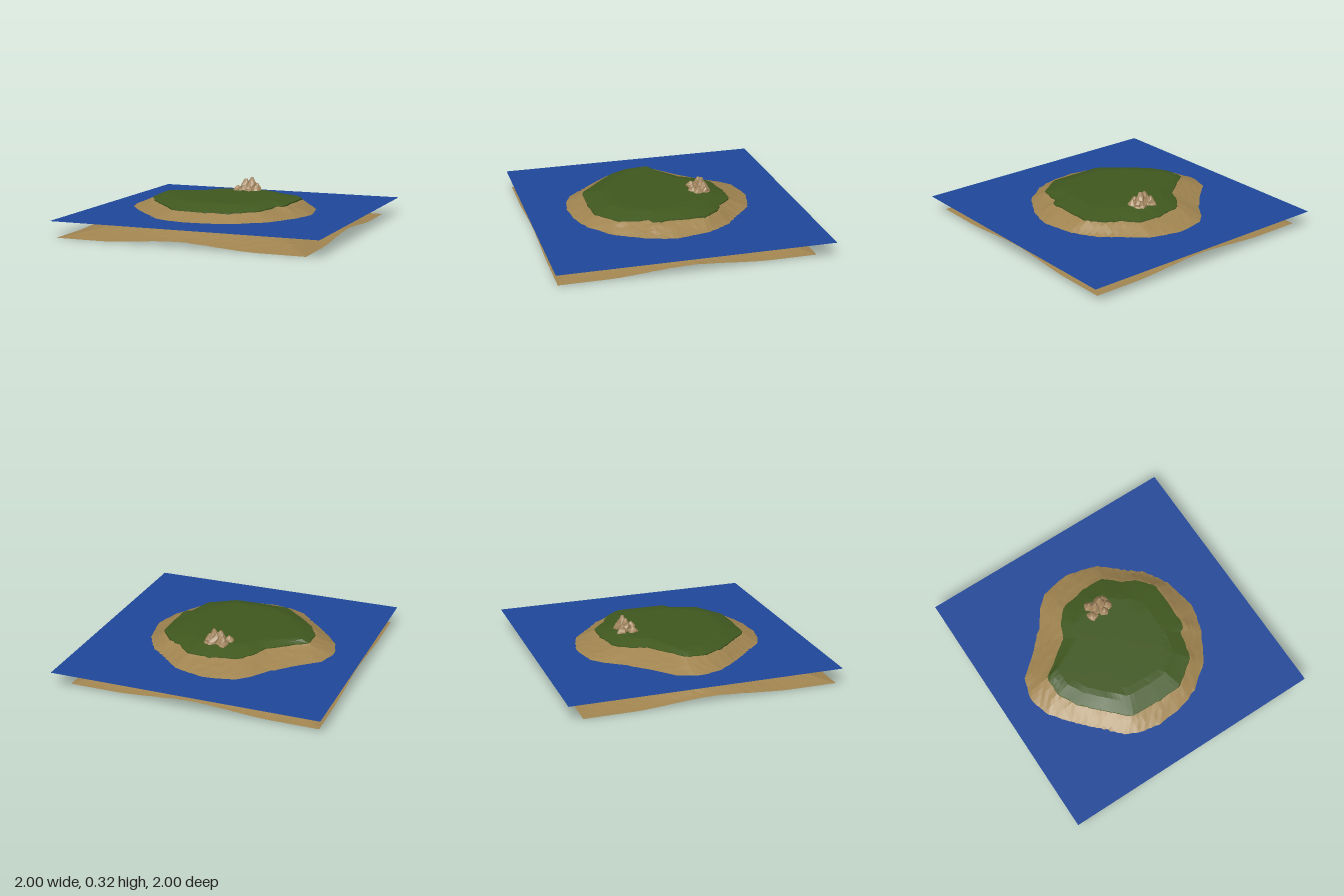
import * as THREE from 'three';

const WATER_Y = 0.125, TOP_Y = 0.224;

// Outlines as x, z pairs around the island
const pairs = a => Array.from({ length: a.length / 2 }, (_, i) => [a[2 * i], a[2 * i + 1]]);
const shore = pairs([.63, .06, .58, -.2, .47, -.37, .32, -.5, .22, -.6, .1, -.65, -.05, -.675, -.25, -.64,
  -.35, -.55, -.42, -.43, -.58, -.28, -.74, -.14, -.785, .02, -.75, .17, -.62, .33, -.5, .45,
  -.35, .62, -.25, .67, -.1, .7, .1, .68, .27, .62, .42, .5, .5, .4, .58, .25]);
const grassRim = pairs([.47, 0, .47, -.2, .38, -.32, .28, -.37, .16, -.48, 0, -.48, -.2, -.44, -.28, -.35,
  -.34, -.23, -.48, -.12, -.61, -.03, -.6, .12, -.54, .25, -.4, .4, -.24, .55, 0, .56,
  .18, .55, .37, .41, .42, .2, .47, .18]);
const plateau = pairs([.32, -.05, .25, -.2, .12, -.32, 0, -.35, -.2, -.28, -.26, -.18, -.4, -.1,
  -.56, -.03, -.51, .1, -.32, .33, -.16, .41, .14, .41, .26, .3, .32, .15]);
const CX = -0.03, CZ = 0.04, HALF = 0.93;
const seabedEdge = [[CX + HALF, CZ + HALF], [CX + HALF, CZ - HALF], [CX - HALF, CZ - HALF], [CX - HALF, CZ + HALF]];

// Distance from the origin to an outline in direction (c, s)
function reach(outline, c, s) {
  let best = 0;
  outline.forEach(([ax, az], i) => {
    const [bx, bz] = outline[(i + 1) % outline.length];
    const ex = bx - ax, ez = bz - az, d = c * ez - s * ex;
    if (Math.abs(d) < 1e-9) return;
    const r = (ax * ez - az * ex) / d, t = (ax * s - az * c) / d;
    if (t >= -1e-6 && t <= 1 + 1e-6 && r > best) best = r;
  });
  return best;
}

// Land height: flat top, grassy shoulder, beach, then seabed
function landHeight(x, z) {
  const r = Math.hypot(x, z);
  if (r < 1e-6) return TOP_Y;
  const c = x / r, s = z / r;
  const rp = reach(plateau, c, s);
  if (r <= rp) return TOP_Y;
  const rg = Math.max(reach(grassRim, c, s), rp + 0.02);
  const rimY = 0.178 + 0.02 * c * c + 0.008 * Math.max(0, -s);
  if (r <= rg) return THREE.MathUtils.lerp(TOP_Y, rimY, (r - rp) / (rg - rp));
  const rs = reach(shore, c, s);
  if (r <= rs) return THREE.MathUtils.lerp(rimY, WATER_Y, (r - rg) / (rs - rg));
  const re = reach(seabedEdge, c, s);
  const side = Math.min(Math.abs(c * re - CX), Math.abs(s * re - CZ)) / HALF;
  const edgeY = 0.003 + 0.034 * (1 - THREE.MathUtils.smoothstep(side, 0, 0.65));
  const t = Math.min(1, (r - rs) / (re - rs));
  return THREE.MathUtils.lerp(WATER_Y, edgeY, 1 - Math.pow(1 - t, 1.2));
}

const hash = n => { const v = Math.sin(n * 127.1 + 11.7) * 43758.5453; return v - Math.floor(v); };

function part(name, geometry, color, options = {}) {
  const mesh = new THREE.Mesh(geometry, new THREE.MeshStandardMaterial({ color, ...options }));
  mesh.name = name;
  return mesh;
}

// Square sheet of sand draped over the land height
function sandGeometry() {
  const geo = new THREE.PlaneGeometry(2 * HALF, 2 * HALF, 50, 50).rotateX(-Math.PI / 2).translate(CX, 0, CZ);
  const p = geo.attributes.position;
  for (let i = 0; i < p.count; i++) {
    const y = landHeight(p.getX(i), p.getZ(i));
    const bump = y < TOP_Y - 0.002 && y > 0.02 ? (hash(i) - 0.5) * 0.004 : 0;
    p.setY(i, Math.max(0, y + bump));
  }
  geo.computeVertexNormals();
  return geo;
}

// Turf in rings from the middle to the rim, with a thin lip turned down into the sand
function grassGeometry() {
  const rings = [0.001, 0.25, 0.5, 0.66, 0.76, 0.84, 0.92, 1, 1.004], n = 96;
  const pos = [], index = [];
  rings.forEach((f, k) => {
    for (let i = 0; i < n; i++) {
      const a = i / n * Math.PI * 2, c = Math.cos(a), s = Math.sin(a);
      const r = f * (reach(grassRim, c, s) + (hash(i + 300) - 0.5) * 0.008);
      const lift = k === rings.length - 1 ? -0.01 : 0.006;
      pos.push(c * r, landHeight(c * r, s * r) + lift, s * r);
      if (k === 0) continue;
      const j = (i + 1) % n, a0 = (k - 1) * n, b0 = k * n;
      index.push(a0 + i, a0 + j, b0 + i, a0 + j, b0 + j, b0 + i);
    }
  });
  const geo = new THREE.BufferGeometry();
  geo.setAttribute('position', new THREE.Float32BufferAttribute(pos, 3));
  geo.setIndex(index);
  geo.computeVertexNormals();
  return geo;
}

// Jagged crag: a cone whose rings are pushed in and out
function cragGeometry(radius, height, seed) {
  const sides = 9;
  const geo = new THREE.CylinderGeometry(radius * 0.18, radius, height, sides, 4).translate(0, height / 2, 0);
  const p = geo.attributes.position;
  for (let i = 0; i < p.count; i++) {
    const x = p.getX(i), y = p.getY(i), z = p.getZ(i);
    const side = (Math.round(Math.atan2(z, x) / (Math.PI * 2) * sides * 4) + sides * 4) % (sides * 4);
    const k = 0.8 + 0.4 * hash(seed * 50 + side + Math.round(y / height * 4) * 7.3);
    p.setXYZ(i, x * k, y, z * k);
  }
  geo.computeVertexNormals();
  return geo;
}

export function createModel() {
  const island = new THREE.Group();
  island.name = 'island';

  const water = part('water', new THREE.PlaneGeometry(2, 2).rotateX(-Math.PI / 2), 0x1f4799, { side: THREE.DoubleSide });
  water.position.y = WATER_Y;
  island.add(water);
  island.add(part('sand', sandGeometry(), 0xa08450, { side: THREE.DoubleSide, flatShading: true }));
  island.add(part('grass', grassGeometry(), 0x40581f, { side: THREE.DoubleSide, flatShading: true }));

  // Rocky outcrop: x, z, radius, height of each crag
  const rocks = new THREE.Group();
  rocks.name = 'rockOutcrop';
  [[.03, -.3, .062, .105], [-.015, -.29, .058, .095], [-.065, -.25, .05, .045], [.075, -.265, .045, .05],
    [-.045, -.325, .045, .065], [.03, -.235, .045, .05], [.065, -.315, .045, .06]].forEach(([x, z, r, h], i) => {
    const crag = part('crag', cragGeometry(r, h, i + 1), 0xa48760, { flatShading: true });
    crag.position.set(x, TOP_Y - 0.005, z);
    crag.rotation.y = i * 0.9;
    rocks.add(crag);
  });
  island.add(rocks);
  return island;
}
